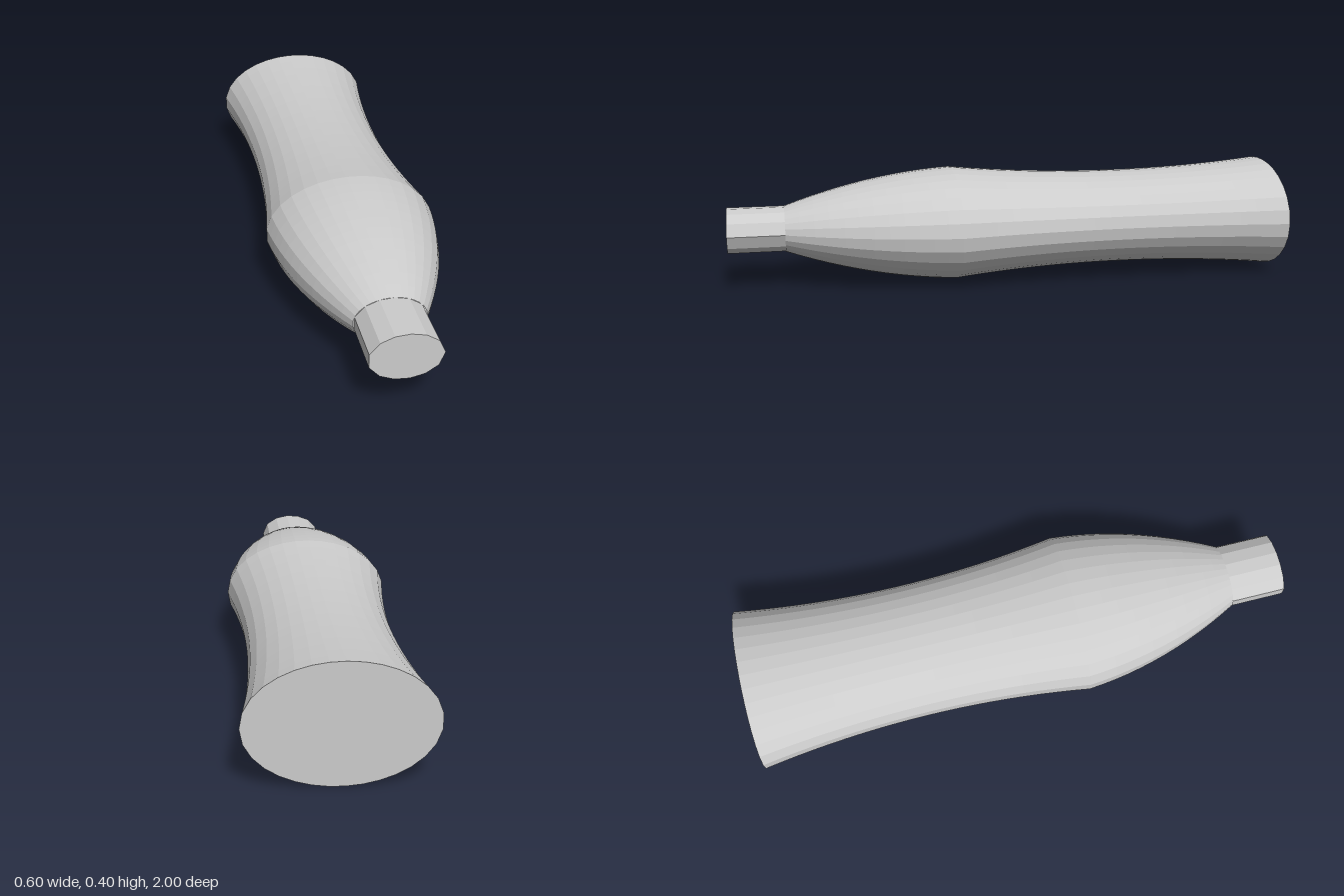
import * as THREE from 'three';

const CENTRE_Y = 0.2;
const section = new THREE.EllipseCurve(0, 0, 0.3, 0.2, 0, Math.PI * 2);
section.arcLengthDivisions = 2000;

// Elliptical solid along z; scale(z) sizes the section, corners evenly spaced along its edge
function loft(name, z0, z1, sides, rows, scale, material) {
  const geo = new THREE.CylinderGeometry(1, 1, z1 - z0, sides, rows);
  geo.rotateY(Math.PI / 2).rotateX(Math.PI / 2).translate(0, 0, (z0 + z1) / 2);
  const pos = geo.attributes.position;
  for (let i = 0; i < pos.count; i++) {
    const x = pos.getX(i), y = pos.getY(i), z = pos.getZ(i);
    const u = (Math.atan2(y, x) / (Math.PI * 2) + 1) % 1;
    const p = section.getPointAt(u).multiplyScalar(Math.hypot(x, y) * scale(z));
    pos.setXYZ(i, p.x, p.y + CENTRE_Y, z);
  }
  geo.computeVertexNormals();
  const mesh = new THREE.Mesh(geo, material);
  mesh.name = name;
  return mesh;
}

export function createModel() {
  const group = new THREE.Group();
  group.name = 'handle';
  const material = new THREE.MeshStandardMaterial({ color: 0xcccccc, flatShading: true });

  // Waisted grip: full size at both ends, slimmest halfway
  const waist = (z) => 0.84 + 0.16 * ((z + 0.4) / 0.6) ** 2;
  group.add(loft('grip', -1, 0.2, 31, 20, waist, material));

  // Rounded shoulder narrowing to the neck
  const taper = (z) => {
    const t = (z - 0.2) / 0.6;
    return 1 - 0.15 * t - 0.45 * t * t;
  };
  group.add(loft('shoulder', 0.2, 0.8, 31, 12, taper, material));

  // Straight neck
  group.add(loft('neck', 0.8, 1, 13, 1, () => 0.4, material));

  return group;
}
